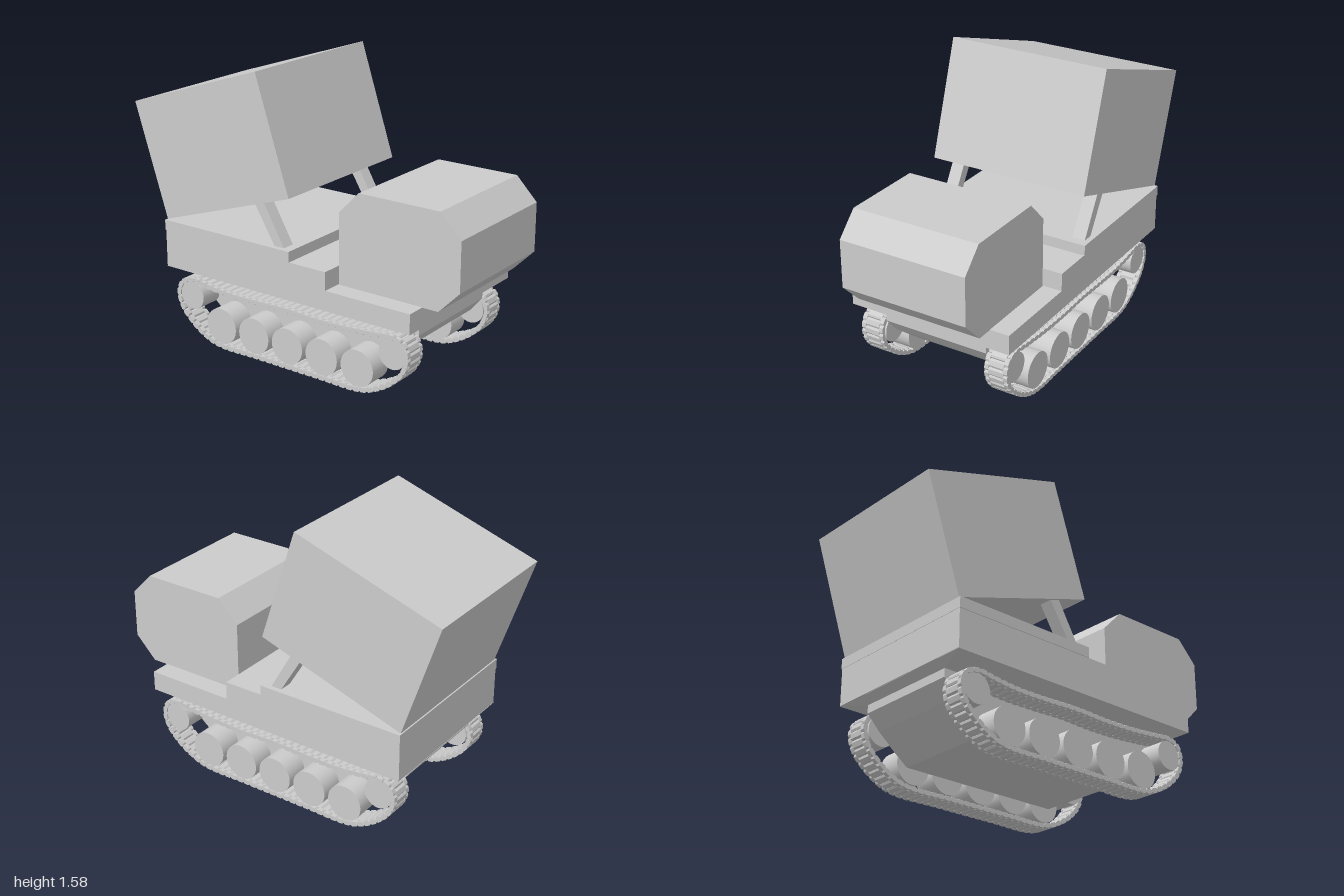
import * as THREE from 'three';
import { mergeGeometries } from 'three/addons/utils/BufferGeometryUtils.js';

const grey = new THREE.MeshStandardMaterial({ color: 0xcccccc });

// Side profile of [z, y] points, extruded across x between two planes
function profileGeometry(points, x0, x1) {
  const shape = new THREE.Shape(points.map(([z, y]) => new THREE.Vector2(z, y)));
  const g = new THREE.ExtrudeGeometry(shape, { depth: x1 - x0, bevelEnabled: false });
  g.rotateY(-Math.PI / 2);
  g.translate(x1, 0, 0);
  return g;
}

function add(parent, name, geometry) {
  const mesh = new THREE.Mesh(geometry, grey);
  mesh.name = name;
  parent.add(mesh);
  return mesh;
}

// Flared belt joining the narrow lower hull to the wide upper body
function flareGeometry() {
  const g = new THREE.BoxGeometry(1, 1, 1).toNonIndexed();
  const p = g.attributes.position;
  for (let i = 0; i < p.count; i++) {
    const top = p.getY(i) > 0;
    p.setXYZ(i,
      Math.sign(p.getX(i)) * (top ? 0.474 : 0.305),
      top ? 0.412 : 0.38,
      p.getZ(i) > 0 ? (top ? 0.79 : 0.735) : (top ? -0.8 : -0.745));
  }
  g.computeVertexNormals();
  return g;
}

// One slim eight-sided link section, long axis along z
function linkSection(x0, x1, length, height) {
  const l = length / 2, h = height / 2;
  return profileGeometry([
    [-l, -h * 0.4], [-l * 0.6, -h], [l * 0.6, -h], [l, -h * 0.4],
    [l, h * 0.4], [l * 0.6, h], [-l * 0.6, h], [-l, h * 0.4],
  ], x0, x1);
}

// Closed belt of links, with the middle sections staggered by half a pitch
function trackGeometry() {
  const path = new THREE.CatmullRomCurve3([
    [0.45, 0.014], [0.2, 0.014], [-0.2, 0.014], [-0.45, 0.014],
    [-0.54, 0.035], [-0.65, 0.1], [-0.725, 0.18], [-0.747, 0.26],
    [-0.72, 0.325], [-0.65, 0.351], [-0.54, 0.338], [-0.4, 0.325],
    [-0.2, 0.326], [0, 0.332], [0.2, 0.326], [0.4, 0.331], [0.55, 0.343],
    [0.67, 0.351], [0.73, 0.325], [0.752, 0.26], [0.73, 0.18],
    [0.655, 0.1], [0.54, 0.035],
  ].map(([z, y]) => new THREE.Vector3(0, y, z)), true, 'centripetal');
  path.arcLengthDivisions = 800;
  const count = 76;
  const pitch = path.getLength() / count;
  const sides = mergeGeometries([
    linkSection(0.312, 0.337, pitch, 0.026),
    linkSection(0.42, 0.445, pitch, 0.026),
  ]);
  const middle = linkSection(0.335, 0.422, pitch, 0.026);
  const parts = [];
  for (let i = 0; i < count * 2; i++) {
    const u = i / (count * 2);
    const p = path.getPointAt(u), t = path.getTangentAt(u);
    const g = (i % 2 ? middle : sides).clone();
    g.rotateX(Math.atan2(-t.y, t.z));
    g.translate(0, p.y, p.z);
    parts.push(g);
  }
  return mergeGeometries(parts);
}

export function createModel() {
  const model = new THREE.Group();
  model.name = 'trackedCarrier';

  // Lower hull with faceted ends
  add(model, 'lowerHull', profileGeometry([
    [0.735, 0.385], [0.735, 0.335], [0.67, 0.255], [0.59, 0.19], [0.49, 0.11],
    [-0.49, 0.11], [-0.59, 0.19], [-0.67, 0.255], [-0.745, 0.335], [-0.745, 0.385],
  ], -0.305, 0.305));
  add(model, 'hullFlare', flareGeometry());

  // Upper body, stepped behind the cab, and the raised rear deck
  add(model, 'upperBody', profileGeometry([
    [0.79, 0.41], [0.79, 0.52], [0.28, 0.52], [0.28, 0.62], [-0.798, 0.62], [-0.798, 0.41],
  ], -0.474, 0.474));
  add(model, 'rearDeck', profileGeometry([
    [0.05, 0.62], [0.05, 0.678], [-0.8, 0.678], [-0.8, 0.62],
  ], -0.478, 0.478));

  // Chamfered cab
  add(model, 'cab', profileGeometry([
    [0.88, 0.518], [1, 0.64], [1, 0.907], [0.88, 1.03],
    [0.405, 1.03], [0.285, 0.907], [0.285, 0.518],
  ], -0.364, 0.364));

  // Large container tipped up about its rear lower edge
  add(model, 'tiltedContainer', profileGeometry([
    [0.043, 0.955], [-0.163, 1.58], [-1, 1.305], [-0.794, 0.68],
  ], -0.462, 0.462));

  const track = trackGeometry();
  const wheels = [
    [0.665, 0.26, 0.08], [-0.655, 0.26, 0.08],
    ...[0.45, 0.225, 0, -0.225, -0.45].map((z) => [z, 0.127, 0.101]),
  ];
  for (const side of [1, -1]) {
    const label = side > 0 ? 'left' : 'right';
    const centre = side * 0.37;

    // Strut holding the container up
    const strutX = side * 0.412;
    add(model, label + 'Strut', profileGeometry([
      [0.003, 0.67], [-0.058, 0.67], [-0.19, 0.885], [-0.13, 0.9],
    ], strutX - 0.037, strutX + 0.037));

    // Running gear
    const gear = new THREE.Group();
    gear.name = label + 'RunningGear';
    model.add(gear);
    for (const [z, y, r] of wheels) {
      const wheel = add(gear, r < 0.1 ? 'endWheel' : 'roadWheel',
        new THREE.CylinderGeometry(r, r, 0.135, 32));
      wheel.rotation.z = Math.PI / 2;
      wheel.position.set(centre, y, z);
    }
    const belt = add(gear, 'track', track);
    if (side < 0) belt.position.x = -0.757;
  }
  return model;
}
